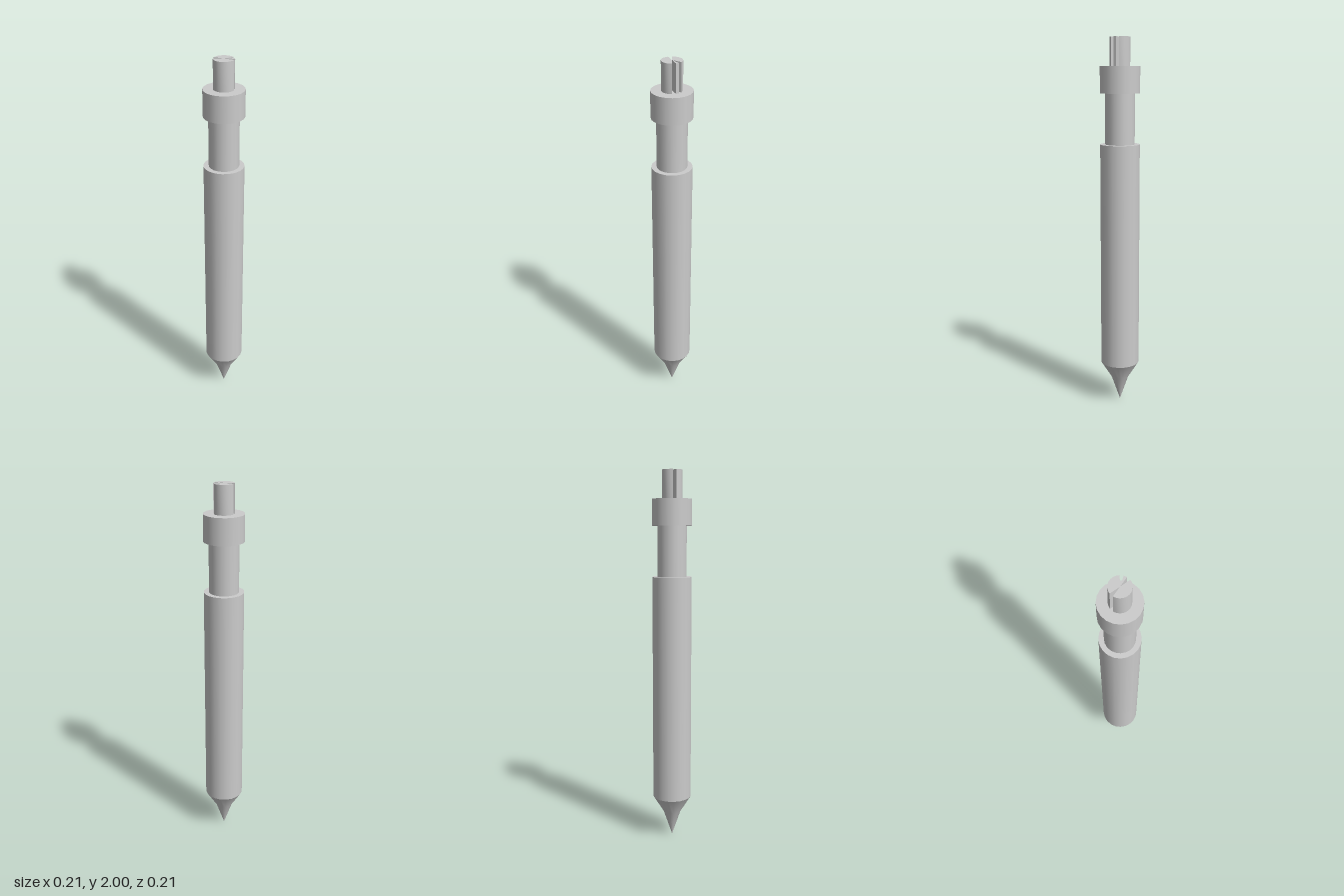
import * as THREE from 'three';
import { toCreasedNormals } from 'three/addons/utils/BufferGeometryUtils.js';

const SIDES = 20;
const material = new THREE.MeshStandardMaterial({ color: 0xcccccc });

function addMesh(group, name, geometry) {
  const mesh = new THREE.Mesh(geometry, material);
  mesh.name = name;
  group.add(mesh);
  return mesh;
}

// Upright cylinder between two heights
function addCylinder(group, name, radius, y0, y1) {
  const mesh = addMesh(group, name, new THREE.CylinderGeometry(radius, radius, y1 - y0, SIDES));
  mesh.position.y = (y0 + y1) / 2;
}

// Upright pie-slice prism; angles in degrees, counterclockwise seen from above
function wedgeGeometry(radius, from, to, segments, height) {
  const points = [new THREE.Vector2(0, 0)];
  for (let i = 0; i <= segments; i++) {
    const a = THREE.MathUtils.degToRad(from + ((to - from) * i) / segments);
    points.push(new THREE.Vector2(radius * Math.cos(a), radius * Math.sin(a)));
  }
  const geometry = new THREE.ExtrudeGeometry(new THREE.Shape(points), { depth: height, bevelEnabled: false });
  geometry.rotateX(-Math.PI / 2);
  return toCreasedNormals(geometry, 0.6);
}

export function createModel() {
  const group = new THREE.Group();
  group.name = 'pointedPin';

  // Pointed tip with a slightly concave profile
  const tipProfile = [[0, 0], [0.047, 0.137], [0.105, 0.23]].map(([r, y]) => new THREE.Vector2(r, y));
  addMesh(group, 'tip', new THREE.LatheGeometry(tipProfile, SIDES));

  // Shaft, neck and collar
  addCylinder(group, 'shaft', 0.105, 0.23, 1.45);
  addCylinder(group, 'neck', 0.078, 1.45, 1.715);
  addCylinder(group, 'collar', 0.105, 1.715, 1.853);

  // Split stud: wedges separated by narrow slots
  const wedges = [[0, 125, 8], [145, 305, 10], [325, 342, 1]];
  wedges.forEach(([from, to, segments], i) => {
    const wedge = addMesh(group, `studWedge${i + 1}`, wedgeGeometry(0.053, from, to, segments, 0.147));
    wedge.position.y = 1.853;
  });

  return group;
}
